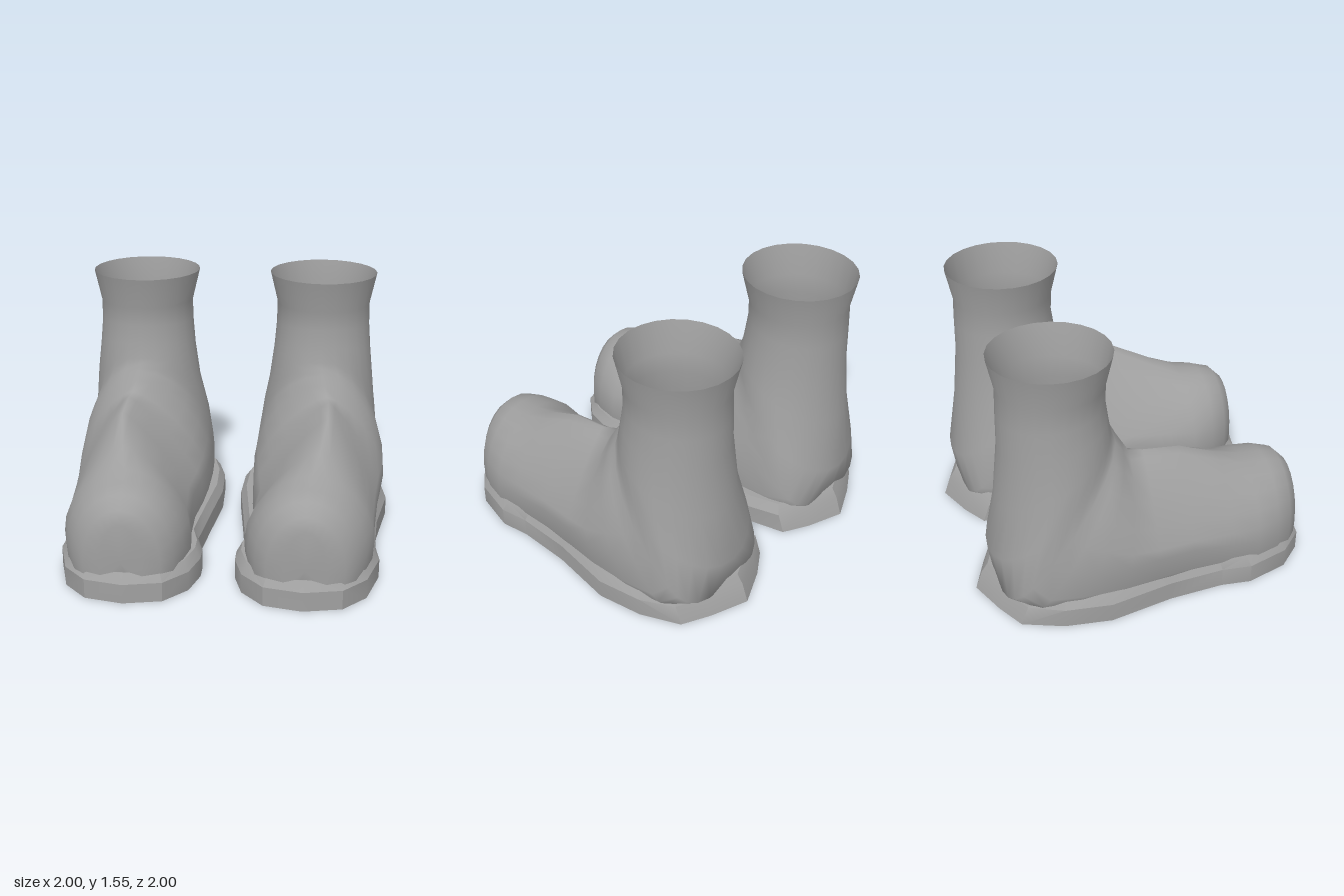
import * as THREE from 'three';
import { toCreasedNormals } from 'three/addons/utils/BufferGeometryUtils.js';

const grey = new THREE.MeshStandardMaterial({ color: 0xa0a0a0, side: THREE.DoubleSide });
grey.name = 'grey';

// Skin a list of closed rings of [x, y, z]; side = -1 mirrors the shape in x.
function loft(rings, side, capEnd) {
  const n = rings[0].length;
  const pos = [];
  const idx = [];
  const tri = (a, b, c) => (side > 0 ? idx.push(a, b, c) : idx.push(a, c, b));
  for (const ring of rings) for (const [x, y, z] of ring) pos.push(side * x, y, z);
  for (let i = 0; i < rings.length - 1; i++) {
    for (let j = 0; j < n; j++) {
      const k = (j + 1) % n;
      const a = i * n + j, b = i * n + k, c = b + n, d = a + n;
      tri(a, d, c);
      tri(a, c, b);
    }
  }
  const cap = (i, flip) => {
    const mid = [0, 1, 2].map((q) => rings[i].reduce((s, p) => s + p[q], 0) / n);
    const m = pos.length / 3;
    pos.push(side * mid[0], mid[1], mid[2]);
    for (let j = 0; j < n; j++) {
      const a = i * n + j, b = i * n + ((j + 1) % n);
      if (flip) tri(m, b, a); else tri(m, a, b);
    }
  };
  cap(0, false);
  if (capEnd) cap(rings.length - 1, true);
  const geo = new THREE.BufferGeometry();
  geo.setAttribute('position', new THREE.Float32BufferAttribute(pos, 3));
  geo.setIndex(idx);
  geo.computeVertexNormals();
  return geo;
}

// Sole outline as [x, z], from the heel tip round the outer side to the toe and back.
const OUTLINE = [
  [0.49, -1.0], [0.71, -0.91], [0.875, -0.82], [0.965, -0.59], [1.0, -0.32], [0.93, 0.06],
  [0.91, 0.385], [0.93, 0.56], [0.855, 0.81], [0.72, 0.95], [0.5, 0.995], [0.28, 0.95],
  [0.15, 0.81], [0.1, 0.64], [0.1, 0.53], [0.14, 0.385], [0.105, 0.06], [0.06, -0.32],
  [0.07, -0.59], [0.12, -0.82], [0.27, -0.91],
];

// Upright wall, leaning in at the heel, with a bevelled top edge.
function soleGeometry(side) {
  const mid = OUTLINE.map(([x, z]) => [x, 0.115, z < -0.8 ? z + 0.04 : z]);
  const rings = [
    OUTLINE.map(([x, z]) => [x, 0, z]),
    mid,
    mid.map(([x, , z]) => [0.52 + (x - 0.52) * 0.92, 0.17, z * 0.962]),
  ];
  return toCreasedNormals(loft(rings, side, true), 0.52);
}

// Sections of the upper, fanning from the upright toe to the level shaft rim:
// inner z, y; outer z, y; x centre at the inner and outer end; half width;
// roundness of the inner half (2 is round, 1 is a sharp ridge).
const SECTIONS = [
  [0.957, 0.46, 0.945, 0.06, 0.51, 0.51, 0.12, 2],
  [0.925, 0.535, 0.92, 0.06, 0.51, 0.51, 0.22, 2],
  [0.86, 0.6, 0.86, 0.06, 0.51, 0.51, 0.285, 2],
  [0.76, 0.625, 0.76, 0.06, 0.515, 0.515, 0.335, 2],
  [0.62, 0.65, 0.62, 0.06, 0.53, 0.52, 0.37, 1.85],
  [0.45, 0.72, 0.45, 0.06, 0.57, 0.525, 0.36, 1.5],
  [0.2, 0.84, 0.2, 0.06, 0.61, 0.53, 0.365, 1.2],
  [-0.02, 0.86, -0.02, 0.06, 0.61, 0.53, 0.39, 1.2],
  [-0.1, 0.865, -0.25, 0.06, 0.6, 0.54, 0.41, 1.45],
  [-0.14, 0.93, -0.52, 0.06, 0.58, 0.545, 0.415, 1.75],
  [-0.17, 0.98, -0.74, 0.06, 0.57, 0.54, 0.4, 1.95],
  [-0.18, 1.0, -0.89, 0.11, 0.565, 0.53, 0.385, 2],
  [-0.19, 1.02, -0.925, 0.33, 0.56, 0.54, 0.365, 2],
  [-0.205, 1.05, -0.87, 0.67, 0.56, 0.555, 0.33, 2],
  [-0.22, 1.14, -0.838, 1.0, 0.56, 0.56, 0.305, 2],
  [-0.235, 1.25, -0.835, 1.2, 0.56, 0.56, 0.292, 2],
  [-0.23, 1.36, -0.83, 1.36, 0.56, 0.56, 0.29, 2],
  [-0.185, 1.55, -0.87, 1.55, 0.557, 0.557, 0.333, 2],
];

function upperGeometry(side) {
  const steps = 24;
  const bend = (v, p) => Math.sign(v) * Math.abs(v) ** (2 / p);
  const rings = SECTIONS.map(([zi, yi, zo, yo, xi, xo, w, ridge]) => {
    // Sections that end inside the sole are squared off underfoot.
    const base = 2 + 33 * Math.max(0, 0.15 - yo);
    const widest = Math.min(0.5, 0.31 + 0.3 * yo);
    return Array.from({ length: steps }, (_, j) => {
      const t = (j / steps) * Math.PI * 2;
      const c = Math.cos(t);
      const p = c > 0 ? ridge : base;
      const f = widest + bend(c, p) * (c > 0 ? 1 - widest : widest);
      return [
        xo + (xi - xo) * f - w * bend(Math.sin(t), p),
        yo + (yi - yo) * f,
        zo + (zi - zo) * f,
      ];
    });
  });
  return loft(rings, side, false);
}

export function createModel() {
  const model = new THREE.Group();
  model.name = 'boots';
  for (const [side, label] of [[1, 'left'], [-1, 'right']]) {
    const boot = new THREE.Group();
    boot.name = label + 'Boot';
    const sole = new THREE.Mesh(soleGeometry(side), grey);
    sole.name = label + 'Sole';
    const upper = new THREE.Mesh(upperGeometry(side), grey);
    upper.name = label + 'Upper';
    boot.add(sole, upper);
    model.add(boot);
  }
  return model;
}
